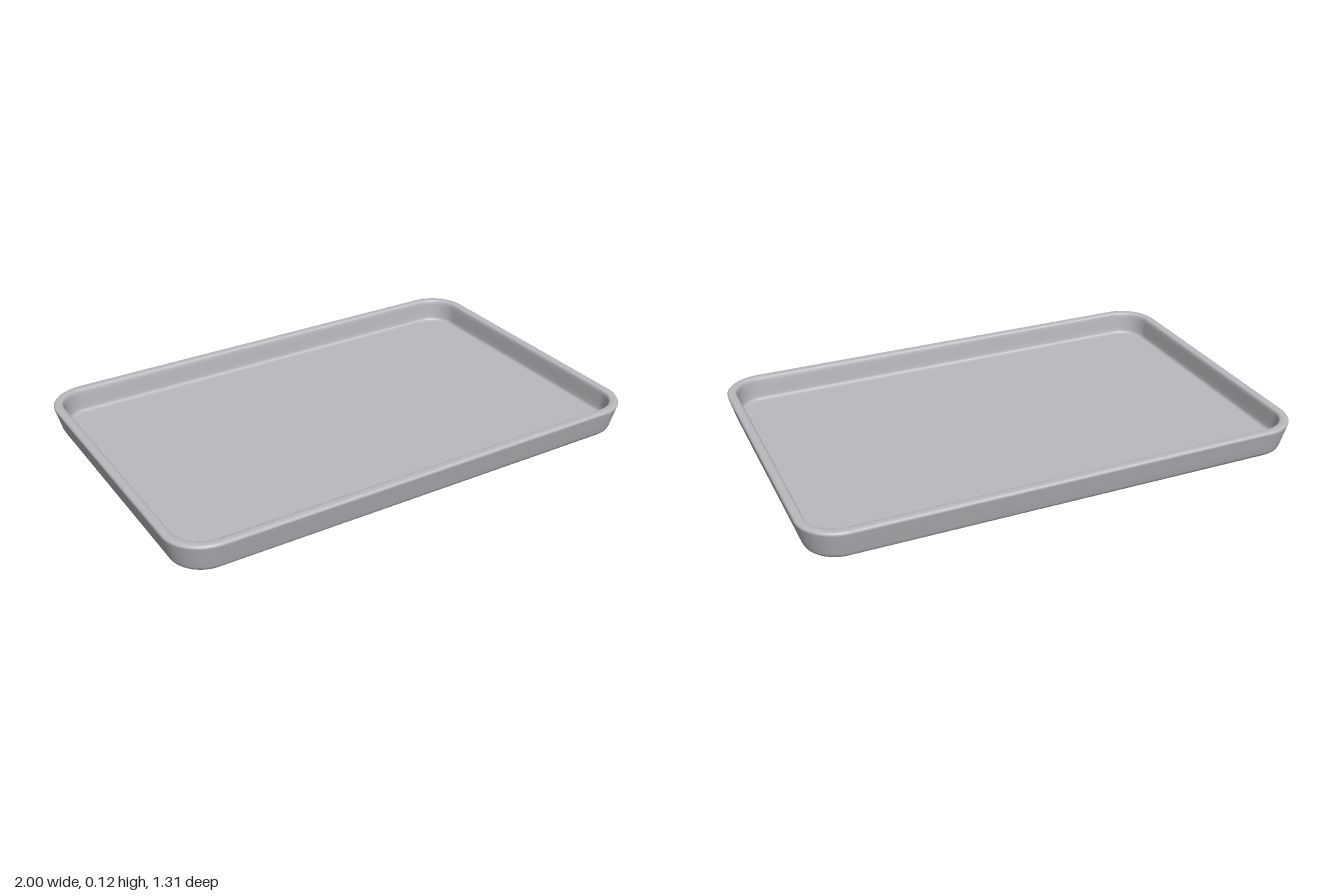
import * as THREE from 'three';

const HALF_X = 1, HALF_Z = 0.657, CORNER = 0.155, STEPS = 14;

// Rounded-rectangle loop, shrunk by inset, at height y
function ring(inset, y) {
  const r = CORNER - inset, pts = [];
  for (let q = 0; q < 4; q++) {
    const sx = q === 0 || q === 3 ? 1 : -1, sz = q < 2 ? 1 : -1;
    for (let i = 0; i <= STEPS; i++) {
      const t = (q + i / STEPS) * Math.PI / 2;
      pts.push(sx * (HALF_X - CORNER) + r * Math.cos(t), y, sz * (HALF_Z - CORNER) + r * Math.sin(t));
    }
  }
  return pts;
}

// Skin the loops from the underside, up over the rim and down to the floor
function loft(profile) {
  const n = 4 * (STEPS + 1), pos = [], idx = [];
  profile.forEach(([inset, y]) => pos.push(...ring(inset, y)));
  const bottom = profile.length * n, top = bottom + 1, last = (profile.length - 1) * n;
  pos.push(0, profile[0][1], 0, 0, profile[profile.length - 1][1], 0);
  for (let j = 0; j < n; j++) {
    const k = (j + 1) % n;
    idx.push(bottom, j, k, last + j, top, last + k);
    for (let i = 0; i < profile.length - 1; i++) {
      const a = i * n + j, b = i * n + k;
      idx.push(a, a + n, b, b, a + n, b + n);
    }
  }
  const g = new THREE.BufferGeometry();
  g.setAttribute('position', new THREE.Float32BufferAttribute(pos, 3));
  g.setIndex(idx);
  g.computeVertexNormals();
  return g;
}

export function createModel() {
  const group = new THREE.Group();
  group.name = 'servingTray';
  const grey = new THREE.MeshStandardMaterial({ color: 0xb9babe });
  grey.name = 'lightGrey';

  // [inset from outer edge, height]
  const profile = [
    [0.07, 0], [0.048, 0], [0.038, 0.003], [0.03, 0.01], [0.025, 0.022], // rounded base edge
    [0.014, 0.065], [0.002, 0.108], [0.001, 0.114], [0.004, 0.119], [0.009, 0.122], // flared outer wall
    [0.02, 0.122], [0.031, 0.122], [0.036, 0.119], [0.039, 0.114], // flat rim with soft edges
    [0.041, 0.1], [0.043, 0.06], [0.045, 0.038], [0.048, 0.03], [0.054, 0.026], // inner wall and fillet
    [0.062, 0.025], [0.08, 0.025], // floor
  ];
  const tray = new THREE.Mesh(loft(profile), grey);
  tray.name = 'trayBody';
  group.add(tray);
  return group;
}
